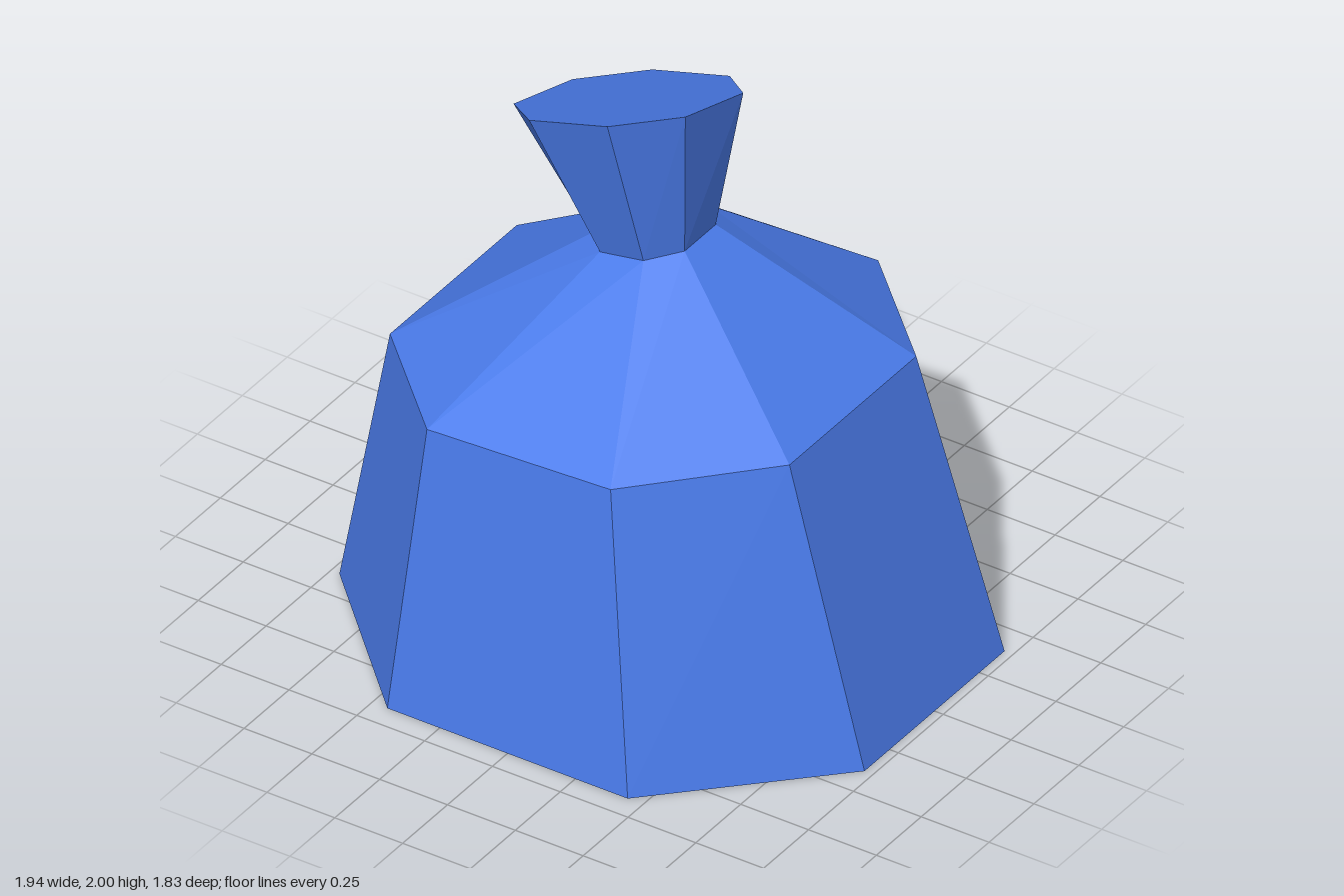
import * as THREE from 'three';

// Each ring: eight [x, z] corners, counter-clockwise from above, starting front right;
// the ring lies on the tilted plane y = h + sx * x + sz * z
const ring = (corners, h, sx = 0, sz = 0) =>
  corners.map(([x, z]) => [x, h + sx * x + sz * z, z]);

// Octagon with cut corners: outer bounds and inner corner positions on each axis
const octagon = (x0, x1, x2, x3, z0, z1, z2, z3) => [
  [x1, z3], [x2, z3], [x3, z2], [x3, z1],
  [x2, z0], [x1, z0], [x0, z1], [x0, z2],
];

// Flat-faceted band between two rings, with optional closed ends
function band(name, lower, upper, material, capBottom, capTop) {
  const pos = [];
  const n = lower.length;
  const tri = (a, b, c) => pos.push(...a, ...b, ...c);
  for (let i = 0; i < n; i++) {
    const j = (i + 1) % n;
    tri(lower[i], lower[j], upper[j]);
    tri(lower[i], upper[j], upper[i]);
  }
  for (let i = 1; i < n - 1; i++) {
    if (capBottom) tri(lower[0], lower[i + 1], lower[i]);
    if (capTop) tri(upper[0], upper[i], upper[i + 1]);
  }
  const geometry = new THREE.BufferGeometry();
  geometry.setAttribute('position', new THREE.Float32BufferAttribute(pos, 3));
  geometry.computeVertexNormals();
  const mesh = new THREE.Mesh(geometry, material);
  mesh.name = name;
  return mesh;
}

export function createModel() {
  const group = new THREE.Group();
  group.name = 'tiedSack';
  const cloth = new THREE.MeshStandardMaterial({ color: 0x4a7bea, flatShading: true });

  const base = ring(octagon(-0.968, -0.443, 0.443, 0.968, -0.916, -0.39, 0.39, 0.916), 0);
  const shoulder = ring(octagon(-0.783, -0.387, 0.29, 0.69, -0.71, -0.318, 0.388, 0.78), 1.003, 0.048);
  const neck = ring(octagon(-0.235, -0.145, 0.015, 0.105, -0.18, -0.085, 0.088, 0.182), 1.421, 0.176);
  // Slightly twisted, tilted mouth of the gathered top
  const mouth = ring([
    [-0.305, 0.335], [-0.02, 0.33], [0.155, 0.16], [0.17, -0.14],
    [0.012, -0.303], [-0.27, -0.298], [-0.45, -0.125], [-0.465, 0.18],
  ], 1.912, 0.29, 0.27);

  group.add(
    band('sackBody', base, shoulder, cloth, true, false),
    band('sackShoulder', shoulder, neck, cloth, false, false),
    band('gatheredTop', neck, mouth, cloth, false, true),
  );
  return group;
}
